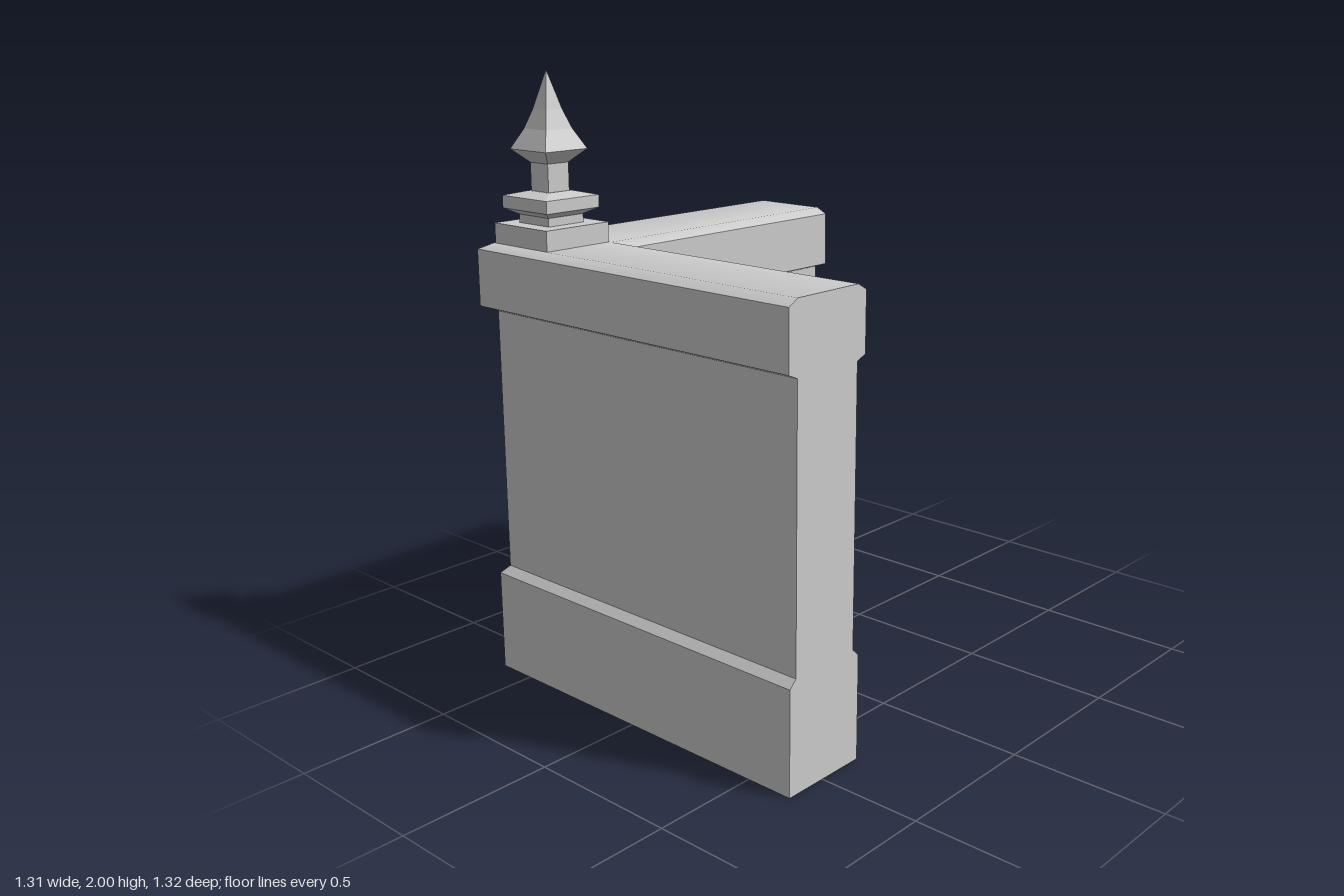
import * as THREE from 'three';
import { toCreasedNormals } from 'three/addons/utils/BufferGeometryUtils.js';

const CX = -0.4925, CZ = -0.484; // centre lines of the two wall legs
const END_X = 0.655, END_Z = 0.66; // open ends of the legs

// Half profile from the ground up: [half width of side leg, half width of back leg, y]
const HALF = [
  [0.153, 0.15, 0], [0.153, 0.15, 0.34], [0.1275, 0.128, 0.365],
  [0.1275, 0.128, 1.24], [0.163, 0.174, 1.255], [0.163, 0.174, 1.44], [0.1275, 0.134, 1.46],
];

// Sweep the moulded profile along an L with a mitred corner
function wallGeometry() {
  const profile = [
    ...HALF,
    ...HALF.map(([a, b, y]) => [-a, -b, y]).reverse(),
  ];
  const n = profile.length;
  const rings = [
    profile.map(([a, , y]) => [CX + a, y, END_Z]),
    profile.map(([a, b, y]) => [CX + a, y, CZ + b]),
    profile.map(([, b, y]) => [END_X, y, CZ + b]),
  ];
  const pos = [];
  const tri = (a, b, c) => pos.push(...a, ...b, ...c);
  for (let r = 0; r < 2; r++) {
    const A = rings[r], C = rings[r + 1];
    for (let i = 0; i < n; i++) {
      const j = (i + 1) % n;
      tri(A[i], C[i], C[j]);
      tri(A[i], C[j], A[j]);
    }
  }
  // End caps
  const outline = profile.map(([a, , y]) => new THREE.Vector2(a, y));
  for (const [a, b, c] of THREE.ShapeUtils.triangulateShape(outline, [])) {
    tri(rings[0][a], rings[0][b], rings[0][c]);
    tri(rings[2][a], rings[2][c], rings[2][b]);
  }
  const g = new THREE.BufferGeometry();
  g.setAttribute('position', new THREE.Float32BufferAttribute(pos, 3));
  return toCreasedNormals(g, 0.6);
}

// Square turned piece from [half width, y] pairs
function squareTurned(points) {
  const pts = points.map(([h, y]) => new THREE.Vector2(h * Math.SQRT2, y));
  return new THREE.LatheGeometry(pts, 4).rotateY(Math.PI / 4);
}

export function createModel() {
  const group = new THREE.Group();
  const smooth = new THREE.MeshStandardMaterial({ color: 0xcccccc });
  const flat = new THREE.MeshStandardMaterial({ color: 0xcccccc, flatShading: true });

  const add = (name, geometry, material, parent = group) => {
    const mesh = new THREE.Mesh(geometry, material);
    mesh.name = name;
    parent.add(mesh);
    return mesh;
  };

  add('cornerWall', wallGeometry(), smooth);

  // Finial over the corner
  const finial = new THREE.Group();
  finial.name = 'finial';
  finial.position.set(CX, 0, CZ);
  group.add(finial);

  add('plinth', new THREE.BoxGeometry(0.254, 0.075, 0.252), flat, finial).position.y = 1.4875;
  add('collar', squareTurned([
    [0, 1.52], [0.071, 1.52], [0.071, 1.552], [0.107, 1.572],
    [0.107, 1.612], [0.05, 1.626], [0, 1.626],
  ]), flat, finial);
  add('neck', new THREE.BoxGeometry(0.084, 0.11, 0.084), flat, finial).position.y = 1.665;
  add('spearhead', squareTurned([
    [0, 1.715], [0.042, 1.715], [0.085, 1.757], [0.053, 1.82],
    [0.032, 1.88], [0.015, 1.945], [0, 2],
  ]), flat, finial);

  return group;
}
